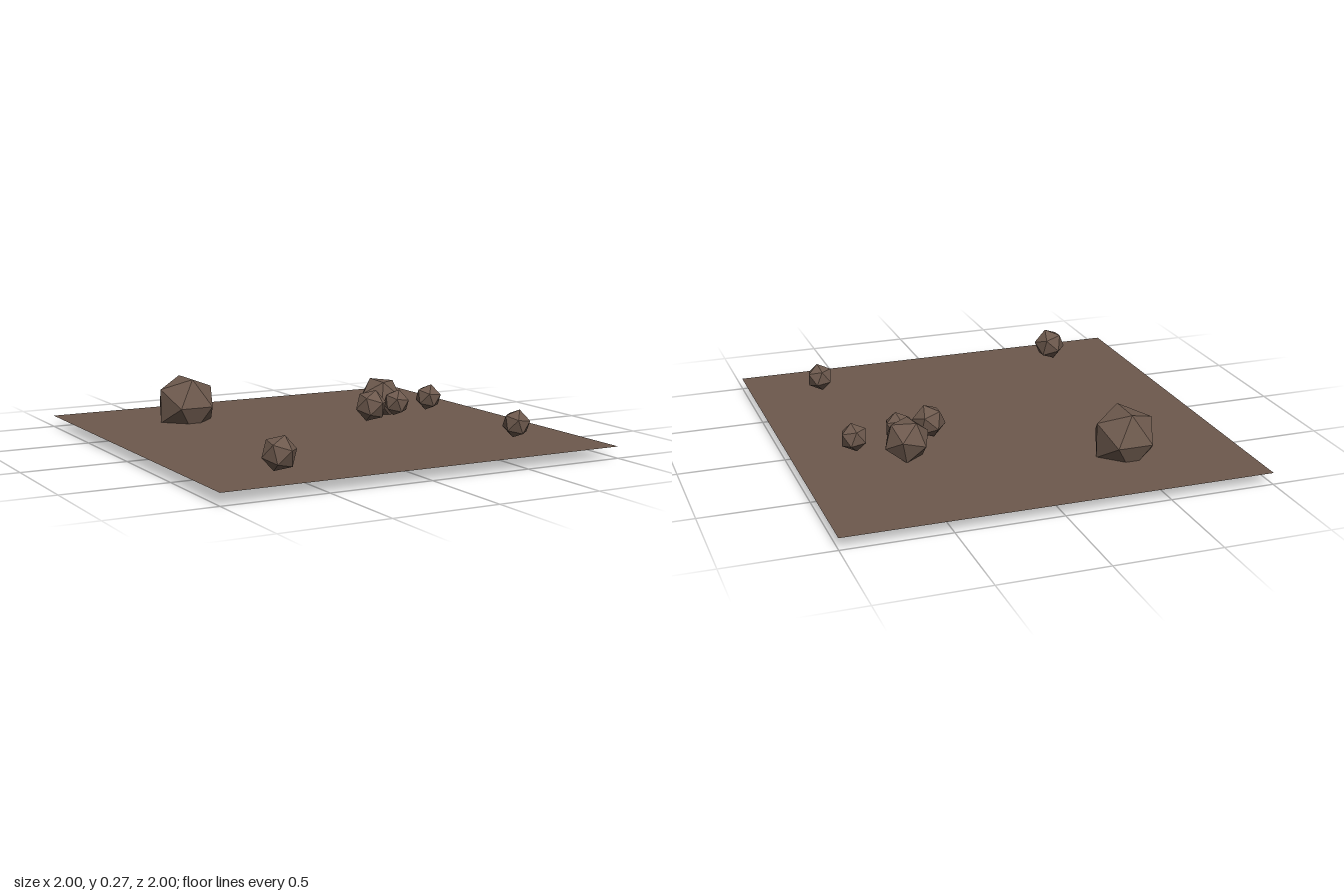
import * as THREE from 'three';

export function createModel() {
  const model = new THREE.Group();
  const earth = new THREE.MeshStandardMaterial({ color: 0x6d594d, side: THREE.DoubleSide, flatShading: true });
  earth.name = 'earthBrown';

  // Flat square of ground
  const ground = new THREE.Mesh(new THREE.PlaneGeometry(2, 2).rotateX(-Math.PI / 2), earth);
  ground.name = 'ground';
  ground.position.y = 0.055;
  model.add(ground);

  // Scattered faceted rocks: name, radius, position, rotation
  const rocks = [
    ['largeRock', 0.159, [-0.46, 0.135, -0.565], [0, Math.PI / 2, 0]],
    ['mediumRock', 0.111, [0.49, 0.138, -0.275], null],
    ['smallRockA', 0.081, [0.325, 0.137, -0.083], [0.3, 0.5, 0.25]],
    ['smallRockB', 0.081, [-0.617, 0.138, 0.768], [0.3, 0.5, 0.25]],
    ['pebbleA', 0.068, [0.48, 0.138, -0.1], [0.4, 1.0, 0.3]],
    ['pebbleB', 0.068, [0.71, 0.138, -0.165], [0.4, 1.0, 0.3]],
    ['pebbleC', 0.068, [0.665, 0.138, 0.67], [0.4, 1.0, 0.3]],
  ];
  for (const [name, radius, position, rotation] of rocks) {
    const rock = new THREE.Mesh(new THREE.IcosahedronGeometry(radius, 0), earth);
    rock.name = name;
    rock.position.set(...position);
    if (rotation) rock.rotation.set(...rotation);
    else {
      // Rests almost flat on one triangular face
      const up = new THREE.Vector3(0.08, 1, 0.06).normalize();
      rock.quaternion.setFromUnitVectors(new THREE.Vector3(1, 1, 1).normalize(), up);
      rock.rotateOnWorldAxis(up, 0.49);
    }
    model.add(rock);
  }
  return model;
}
